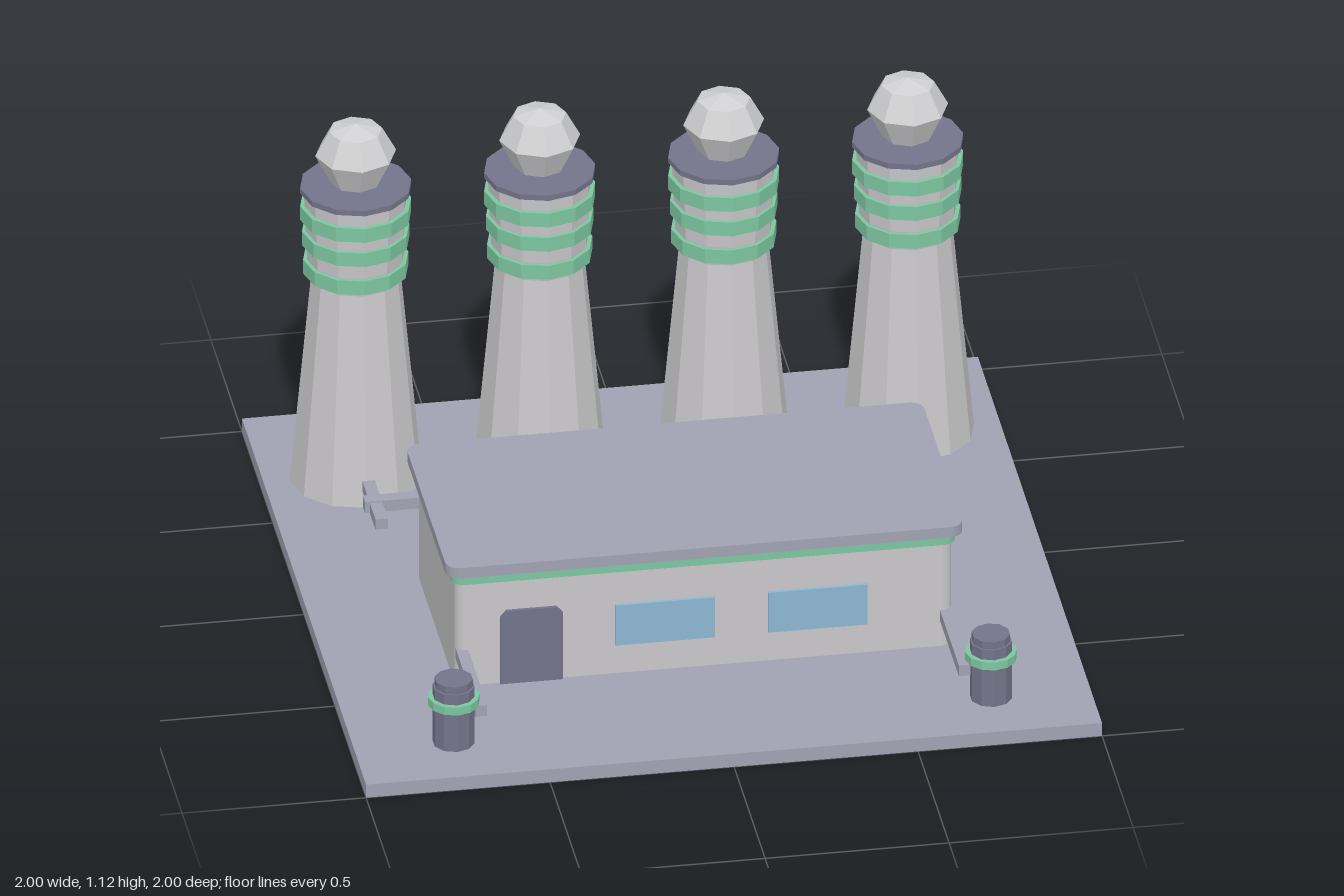
import * as THREE from 'three';

const mat = (name, color, flat = true) => {
  const m = new THREE.MeshStandardMaterial({ color, flatShading: flat });
  m.name = name;
  return m;
};

export function createModel() {
  const slate = mat('slate', 0xa0a2b2);
  const concrete = mat('concrete', 0xc9c7c9);
  const green = mat('green', 0x7cc6a0);
  const dark = mat('dark grey', 0x73748a);
  const glass = mat('glass', 0x8cb6d2);
  const dome = mat('pale grey', 0xd0cfd1);

  const root = new THREE.Group();
  root.name = 'powerStation';

  const add = (parent, name, geo, material, x = 0, y = 0, z = 0) => {
    const m = new THREE.Mesh(geo, material);
    m.name = name;
    m.position.set(x, y, z);
    parent.add(m);
    return m;
  };
  // Box given by its minimum and maximum corners
  const box = (parent, name, material, [x0, y0, z0], [x1, y1, z1]) =>
    add(parent, name, new THREE.BoxGeometry(x1 - x0, y1 - y0, z1 - z0), material,
      (x0 + x1) / 2, (y0 + y1) / 2, (z0 + z1) / 2);
  const lathe = (pts, sides) =>
    new THREE.LatheGeometry(pts.map(p => new THREE.Vector2(...p)), sides);
  // Upright slab with rounded vertical edges
  const slab = (parent, name, material, w, d, r, y0, y1, z) => {
    const s = new THREE.Shape();
    const a = w / 2, b = d / 2;
    s.moveTo(-a + r, -b);
    s.lineTo(a - r, -b).absarc(a - r, -b + r, r, -Math.PI / 2, 0);
    s.lineTo(a, b - r).absarc(a - r, b - r, r, 0, Math.PI / 2);
    s.lineTo(-a + r, b).absarc(-a + r, b - r, r, Math.PI / 2, Math.PI);
    s.lineTo(-a, -b + r).absarc(-a + r, -b + r, r, Math.PI, Math.PI * 1.5);
    const g = new THREE.ExtrudeGeometry(s, { depth: y1 - y0, bevelEnabled: false, curveSegments: 4 });
    g.rotateX(-Math.PI / 2);
    return add(parent, name, g, material, 0, y0, z);
  };

  // Ground plate
  box(root, 'groundPlate', slate, [-1, 0, -1], [1, 0.04, 1]);

  // Cooling towers
  for (const x of [-0.75, -0.25, 0.25, 0.75]) {
    const tower = new THREE.Group();
    tower.name = 'tower';
    tower.position.set(x, 0, -0.65);
    root.add(tower);
    add(tower, 'towerShaft', lathe([[0.18, 0.04], [0.165, 0.2], [0.122, 0.66],
      [0.132, 0.72], [0.141, 0.93]], 12), concrete);
    add(tower, 'towerCap', new THREE.CylinderGeometry(0.151, 0.151, 0.016, 12), dark, 0, 0.932, 0);
    [[0.697, 0.143], [0.785, 0.146], [0.863, 0.151]].forEach(([y, r]) =>
      add(tower, 'towerBand', new THREE.CylinderGeometry(r, r, 0.042, 12), green, 0, y, 0));
    // Faceted ball with a flat underside
    add(tower, 'towerBall', lathe([[0, 0.95], [0.068, 0.95], [0.11, 1.035],
      [0.072, 1.106], [0, 1.125]], 8), dome);
  }

  // Main building
  const building = new THREE.Group();
  building.name = 'building';
  root.add(building);
  slab(building, 'walls', concrete, 1.35, 0.62, 0.03, 0.04, 0.39, 0.208);
  slab(building, 'wallStripe', green, 1.37, 0.635, 0.035, 0.355, 0.388, 0.208);
  slab(building, 'roof', slate, 1.405, 0.68, 0.04, 0.388, 0.42, 0.206);

  // Door with clipped top corners
  const d = new THREE.Shape();
  d.moveTo(-0.085, 0);
  [[0.085, 0], [0.085, 0.205], [0.068, 0.224], [-0.068, 0.224], [-0.085, 0.205]]
    .forEach(p => d.lineTo(...p));
  add(building, 'door', new THREE.ExtrudeGeometry(d, { depth: 0.009, bevelEnabled: false }),
    dark, -0.47, 0.04, 0.518);
  for (const x of [-0.107, 0.308])
    box(building, 'window', glass, [x - 0.135, 0.13, 0.518], [x + 0.135, 0.253, 0.527]);

  // Front posts and their feed pipes
  for (const s of [-1, 1]) {
    const post = new THREE.Group();
    post.name = 'frontPost';
    post.position.set(0.73 * s, 0, 0.81);
    root.add(post);
    add(post, 'postBody', new THREE.CylinderGeometry(0.057, 0.057, 0.175, 10), dark, 0, 0.127, 0);
    add(post, 'postCap', new THREE.CylinderGeometry(0.052, 0.052, 0.023, 10), dark, 0, 0.225, 0);
    add(post, 'postRing', new THREE.CylinderGeometry(0.07, 0.07, 0.024, 12), green, 0, 0.172, 0);
    const px = 0.657 * s;
    box(root, 'frontPipe', slate, [px - 0.016, 0.117, 0.5], [px + 0.016, 0.15, 0.82]);
  }

  // Rear pipework
  box(root, 'rearPipe', slate, [-0.78, 0.112, -0.357], [0.78, 0.145, -0.32]);
  for (const x of [-0.75, -0.25, 0.25, 0.75])
    box(root, 'rearBranch', slate, [x - 0.017, 0.11, -0.44], [x + 0.017, 0.141, -0.23]);
  box(root, 'rearOutlet', slate, [-0.018, 0.11, -0.21], [0.018, 0.146, -0.09]);

  return root;
}
